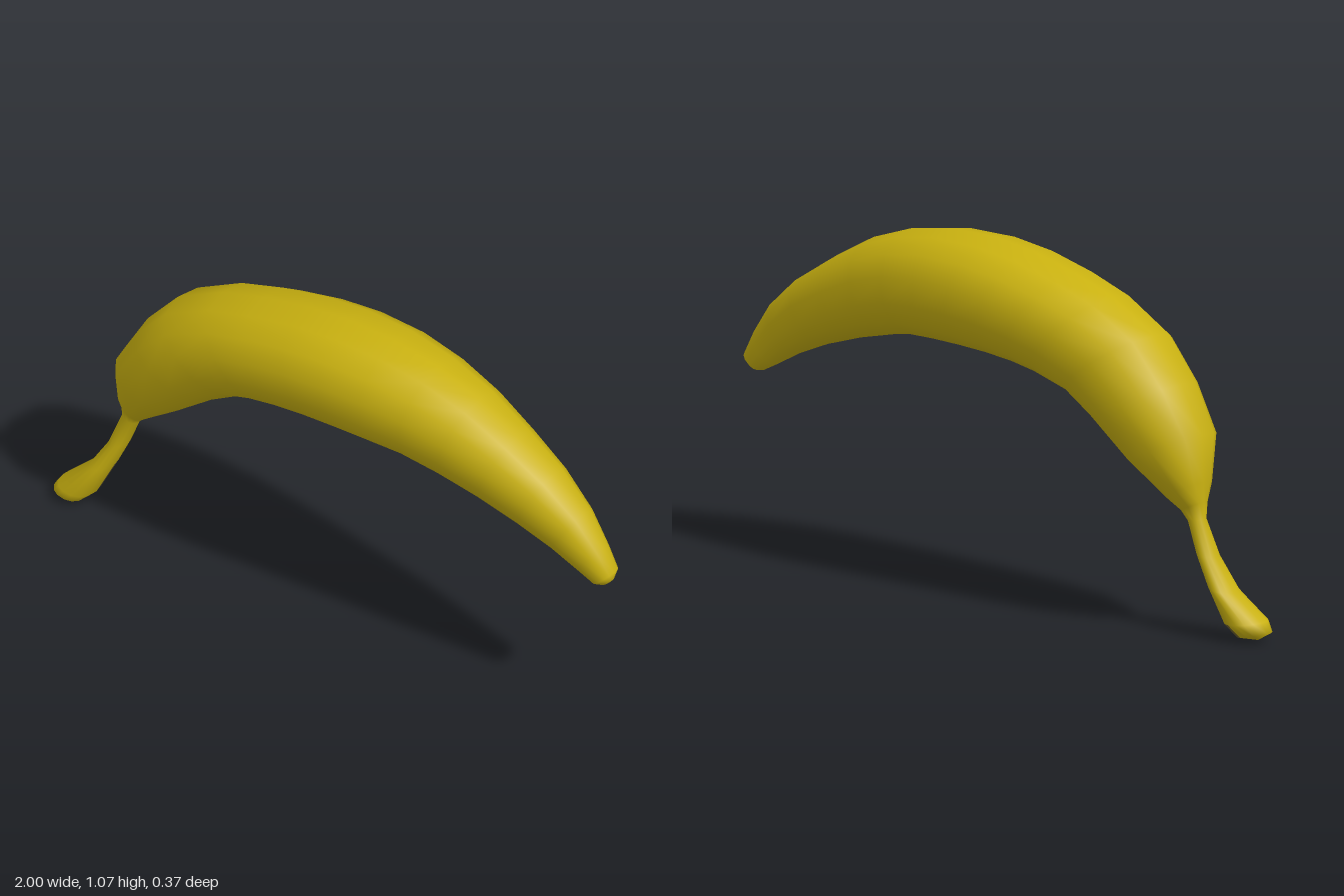
import * as THREE from 'three';

const SIDES = 14;

// Cross-sections from stem end to blossom tip:
// outer x, outer y, inner x, inner y, centre z, half width in z
const SECTIONS = [
  [-1.0, 0.03, -0.9, 0.01, 0.04, 0.052],
  [-0.98, 0.06, -0.86, 0.05, 0.037, 0.067],
  [-0.89, 0.14, -0.81, 0.16, 0.015, 0.05],
  [-0.83, 0.24, -0.77, 0.25, 0.003, 0.037],
  [-0.79, 0.35, -0.735, 0.34, -0.003, 0.026],
  [-0.787, 0.4, -0.71, 0.365, 0, 0.038],
  [-0.785, 0.46, -0.67, 0.4, 0, 0.075],
  [-0.78, 0.6, -0.54, 0.5, 0, 0.137],
  [-0.7, 0.74, -0.4, 0.61, 0, 0.16],
  [-0.59, 0.87, -0.3, 0.67, 0, 0.17],
  [-0.43, 0.96, -0.18, 0.705, 0, 0.178],
  [-0.28, 1.01, -0.1, 0.72, 0, 0.184],
  [-0.12, 1.05, 0.0, 0.73, 0, 0.187],
  [0.03, 1.07, 0.1, 0.735, 0, 0.187],
  [0.2, 1.07, 0.2, 0.737, 0, 0.181],
  [0.36, 1.045, 0.31, 0.735, 0, 0.165],
  [0.51, 0.995, 0.43, 0.715, 0, 0.146],
  [0.65, 0.92, 0.56, 0.685, 0, 0.124],
  [0.78, 0.84, 0.69, 0.645, 0, 0.103],
  [0.89, 0.745, 0.8, 0.6, 0, 0.078],
  [0.96, 0.65, 0.885, 0.555, 0, 0.056],
  [1.0, 0.58, 0.94, 0.528, 0, 0.043],
  [0.994, 0.55, 0.965, 0.525, 0, 0.018],
];
const NECK = 5;               // ring where the stem meets the fruit
const LAST = SECTIONS.length - 1;

// Slightly squared circle, for the fuller flanks
const soften = (v) => Math.sign(v) * Math.pow(Math.abs(v), 0.92);

export function createModel() {
  const peel = new THREE.MeshStandardMaterial({ color: 0xc9b110 });
  peel.name = 'yellow peel';
  const brown = new THREE.MeshStandardMaterial({ color: 0x6c5f2c });
  brown.name = 'dried brown';

  // Shared vertices: rings, then the two cap centres
  const positions = [];
  for (const [ox, oy, ix, iy, cz, hw] of SECTIONS) {
    for (let j = 0; j < SIDES; j++) {
      const t = (j / SIDES) * Math.PI * 2;
      const c = soften(Math.cos(t)) / 2, s = soften(Math.sin(t));
      positions.push((ox + ix) / 2 + (ox - ix) * c, (oy + iy) / 2 + (oy - iy) * c, cz + hw * s);
    }
  }
  const stemCentre = positions.length / 3;
  positions.push(-0.945, 0, 0.06);
  const tipCentre = stemCentre + 1;
  positions.push(0.983, 0.535, 0);

  // Sort the faces into parts
  const parts = { stem: [], fruit: [], stemBruise: [], blossomTip: [] };
  const vertex = (i, j) => i * SIDES + (j % SIDES);
  const bruised = (i, j) => i < 2 && j >= 7 && j <= 9 - i;
  for (let i = 0; i < LAST; i++) {
    for (let j = 0; j < SIDES; j++) {
      const part = bruised(i, j) ? 'stemBruise' : i < NECK ? 'stem' : 'fruit';
      const a = vertex(i, j), b = vertex(i, j + 1), c = vertex(i + 1, j + 1), d = vertex(i + 1, j);
      parts[part].push(a, b, d, b, c, d);
    }
  }
  for (let j = 0; j < SIDES; j++) {
    const cap = bruised(0, j) ? parts.stemBruise : parts.stem;
    cap.push(stemCentre, vertex(0, j + 1), vertex(0, j));
    parts.blossomTip.push(tipCentre, vertex(LAST, j), vertex(LAST, j + 1));
  }

  // Normals over the whole skin keep the seams between parts smooth
  const skin = new THREE.BufferGeometry();
  skin.setAttribute('position', new THREE.Float32BufferAttribute(positions, 3));
  skin.setIndex(Object.values(parts).flat());
  skin.computeVertexNormals();

  const group = new THREE.Group();
  group.name = 'banana';
  for (const [name, index] of Object.entries(parts)) {
    const geometry = new THREE.BufferGeometry();
    geometry.setAttribute('position', skin.getAttribute('position'));
    geometry.setAttribute('normal', skin.getAttribute('normal'));
    geometry.setIndex(index);
    const dark = name === 'stemBruise' || name === 'blossomTip';
    const mesh = new THREE.Mesh(geometry, dark ? brown : peel);
    mesh.name = name;
    group.add(mesh);
  }
  return group;
}
